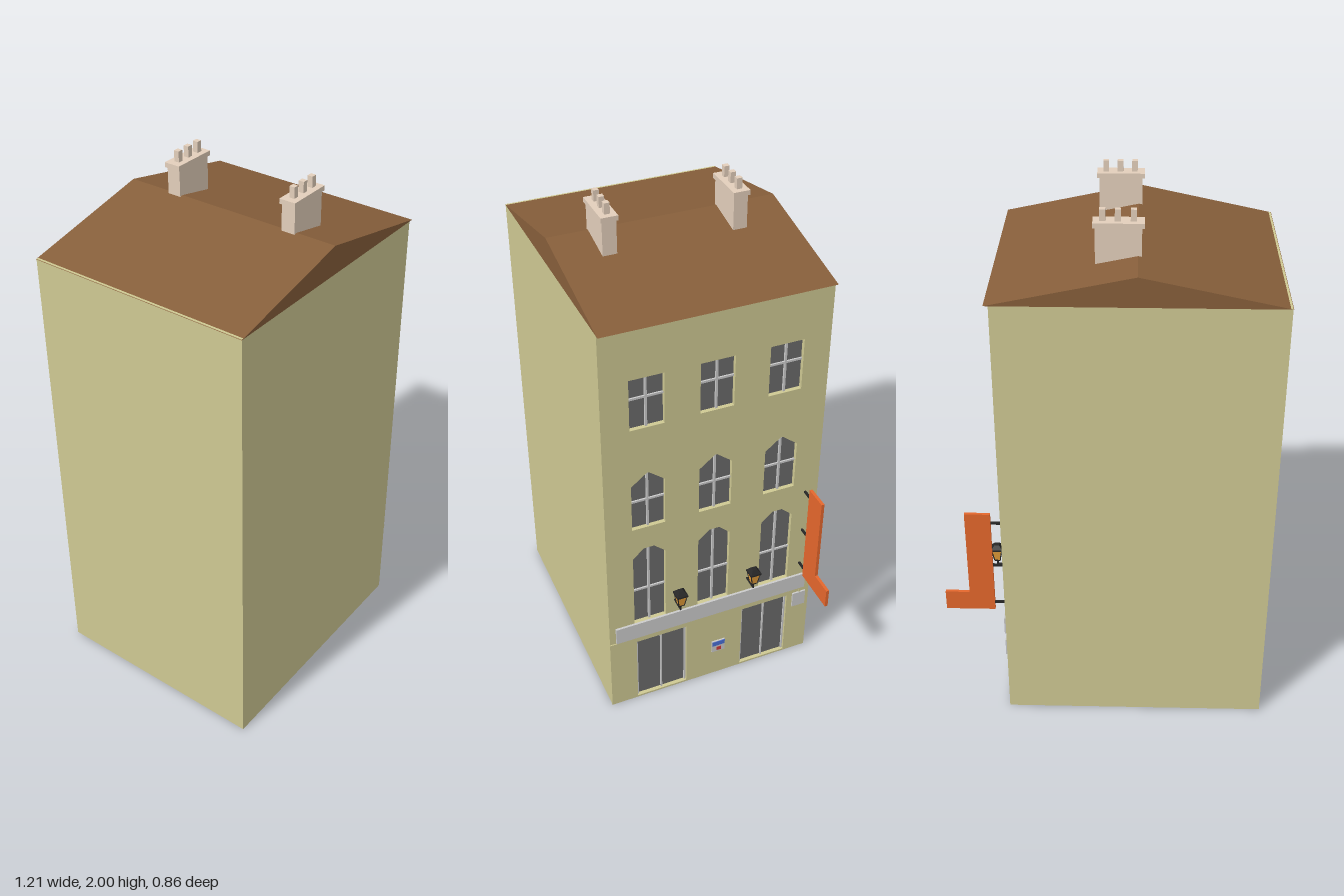
import * as THREE from 'three';

const mat = (color) => new THREE.MeshStandardMaterial({ color, flatShading: true });
const WALL = mat(0xcfc993), ROOF = mat(0x875f3b), STONE = mat(0xe3cfbb), GREY = mat(0xcccccc),
  GLASS = mat(0x6a6a6a), BLACK = mat(0x262626), ORANGE = mat(0xe5672c), AMBER = mat(0xeda43c),
  BLUE = mat(0x4a70d8), RED = mat(0xd03a3a);

const FACE = 0.378;   // x of the shop facade
const DEEP = 0.018;   // depth of window and door reveals
const HALF = 0.427;   // half the width of the facade

export function createModel() {
  const root = new THREE.Group();

  const add = (parent, name, geometry, material) => {
    const mesh = new THREE.Mesh(geometry, material);
    mesh.name = name;
    parent.add(mesh);
    return mesh;
  };
  // Box given by its lower and upper corners
  const box = (parent, name, material, x0, x1, y0, y1, z0, z1) => {
    const m = add(parent, name, new THREE.BoxGeometry(x1 - x0, y1 - y0, z1 - z0), material);
    m.position.set((x0 + x1) / 2, (y0 + y1) / 2, (z0 + z1) / 2);
    return m;
  };
  const group = (name) => {
    const g = new THREE.Group();
    g.name = name;
    root.add(g);
    return g;
  };
  const points = (list) => list.map(([x, y]) => new THREE.Vector2(x, y));
  const extrude = (shape, depth) => new THREE.ExtrudeGeometry(shape, { depth, bevelEnabled: false });

  // Main block and the facade slab, pierced by the openings
  box(root, 'mainBlock', WALL, -0.605, FACE - DEEP, 0, 1.742, -HALF, HALF);
  const facade = new THREE.Shape(points([[-HALF, 0], [HALF, 0], [HALF, 1.742], [-HALF, 1.742]]));

  // Facade drawings use u = -z
  const windowRows = [
    { name: 'lowerWindow', y0: 0.42, y1: 0.75, peak: 0.79, flat: 0.02, bar: 0.58 },
    { name: 'middleWindow', y0: 0.89, y1: 1.09, peak: 1.138, flat: 0.004, bar: 1.01 },
    { name: 'upperWindow', y0: 1.335, y1: 1.54, peak: 1.54, flat: 0, bar: 1.455 },
  ];
  const w = 0.064;
  for (const r of windowRows) {
    for (const u of [-0.26, 0, 0.26]) {
      const outline = [[u - w, r.y0], [u + w, r.y0], [u + w, r.y1]];
      if (r.flat) outline.push([u + r.flat, r.peak], [u - r.flat, r.peak]);
      outline.push([u - w, r.y1]);
      facade.holes.push(new THREE.Path(points(outline)));

      const g = group(r.name);
      const x = FACE - DEEP;
      const pane = add(g, 'glass', new THREE.ShapeGeometry(new THREE.Shape(points(outline))), GLASS);
      pane.rotation.y = Math.PI / 2;
      pane.position.x = x + 0.002;
      box(g, 'mullion', GREY, x, x + 0.01, r.y0, r.peak - 0.002, -u - 0.004, -u + 0.004);
      box(g, 'sashBar', GREY, x, x + 0.008, r.bar - 0.004, r.bar + 0.004, -u - w, -u + w);
    }
  }

  // Double doors
  for (const [u0, u1] of [[-0.318, -0.108], [0.13, 0.33]]) {
    facade.holes.push(new THREE.Path(points([[u0, 0.008], [u1, 0.008], [u1, 0.315], [u0, 0.315]])));
    const g = group('doubleDoor');
    const x = FACE - DEEP, mid = (u0 + u1) / 2;
    box(g, 'leaves', GLASS, x - 0.002, x + 0.003, 0.008, 0.315, -u1, -u0);
    for (const u of [u0 + 0.004, mid, u1 - 0.004])
      box(g, 'doorPost', GREY, x, x + 0.01, 0.008, 0.315, -u - 0.003, -u + 0.003);
    box(g, 'doorHead', GREY, x, x + 0.01, 0.308, 0.315, -u1, -u0);
  }
  const front = add(root, 'facade', extrude(facade, DEEP), WALL);
  front.rotation.y = Math.PI / 2;
  front.position.x = FACE - DEEP;

  // Gabled roof with an overhang above the facade
  const gable = new THREE.Shape(points([[-0.607, 1.74], [0.395, 1.74], [-0.105, 1.846]]));
  add(root, 'roof', extrude(gable, 0.856), ROOF).position.z = -0.428;

  // Chimneys, each with a cap and three pots
  for (const z of [0.25, -0.23]) {
    const g = group('chimney');
    box(g, 'stack', STONE, -0.117, 0.038, 1.8, 1.942, z - 0.026, z + 0.026);
    box(g, 'cap', STONE, -0.125, 0.046, 1.942, 1.96, z - 0.031, z + 0.031);
    for (const x of [-0.089, -0.037, 0.014])
      box(g, 'pot', STONE, x - 0.01, x + 0.01, 1.96, 2, z - 0.01, z + 0.01);
  }

  // Shop front trim
  box(root, 'fasciaBoard', GREY, FACE, FACE + 0.009, 0.346, 0.42, -0.402, 0.402);
  box(root, 'trimRail', WALL, FACE, FACE + 0.004, 0.335, 0.341, -0.385, HALF);
  box(root, 'trimDrop', WALL, FACE, FACE + 0.004, 0.32, 0.341, -0.387, -0.381);
  box(root, 'sidePlate', GREY, FACE, FACE + 0.007, 0.25, 0.32, -0.41, -0.354);

  // Small notice plaque between the doors
  const plaque = group('plaque');
  box(plaque, 'board', GREY, FACE, FACE + 0.006, 0.128, 0.185, -0.057, -0.001);
  box(plaque, 'blueStrip', BLUE, FACE, FACE + 0.008, 0.162, 0.183, -0.056, -0.002);
  box(plaque, 'redPatch', RED, FACE, FACE + 0.008, 0.135, 0.152, -0.04, -0.021);

  // Wall lanterns: bracket arm, stem, tapered square glass and lid
  for (const z of [0.158, -0.146]) {
    const g = group('lantern');
    const lx = 0.433;
    box(g, 'arm', BLACK, FACE, lx, 0.48, 0.487, z - 0.003, z + 0.003);
    box(g, 'stem', BLACK, lx - 0.003, lx + 0.003, 0.48, 0.515, z - 0.003, z + 0.003);
    const tier = (name, material, top, bottom, y0, y1) => {
      const m = add(g, name, new THREE.CylinderGeometry(top * Math.SQRT2, bottom * Math.SQRT2, y1 - y0, 4), material);
      m.geometry.rotateY(Math.PI / 4);
      m.position.set(lx, (y0 + y1) / 2, z);
    };
    tier('base', BLACK, 0.012, 0.009, 0.505, 0.512);
    tier('lampGlass', AMBER, 0.019, 0.011, 0.512, 0.558);
    tier('lid', BLACK, 0.022, 0.022, 0.558, 0.565);
    tier('lidTop', BLACK, 0.009, 0.021, 0.565, 0.581);
    for (const a of [-1, 1]) for (const b of [-1, 1]) {
      const edge = new THREE.LineCurve3(
        new THREE.Vector3(lx + a * 0.011, 0.51, z + b * 0.011),
        new THREE.Vector3(lx + a * 0.019, 0.56, z + b * 0.019));
      add(g, 'cornerBar', new THREE.TubeGeometry(edge, 1, 0.0022, 4), BLACK);
    }
  }

  // Projecting L-shaped sign on three brackets
  const sign = group('projectingSign');
  const ell = new THREE.Shape(points([[0.42, 0.449], [0.605, 0.449], [0.605, 0.529],
    [0.514, 0.529], [0.514, 0.886], [0.42, 0.886]]));
  add(sign, 'board', extrude(ell, 0.012), ORANGE).position.z = -0.381;
  for (const y of [0.845, 0.655, 0.481])
    box(sign, 'bracket', BLACK, FACE - 0.005, 0.422, y - 0.004, y + 0.004, -0.379, -0.371);

  return root;
}
